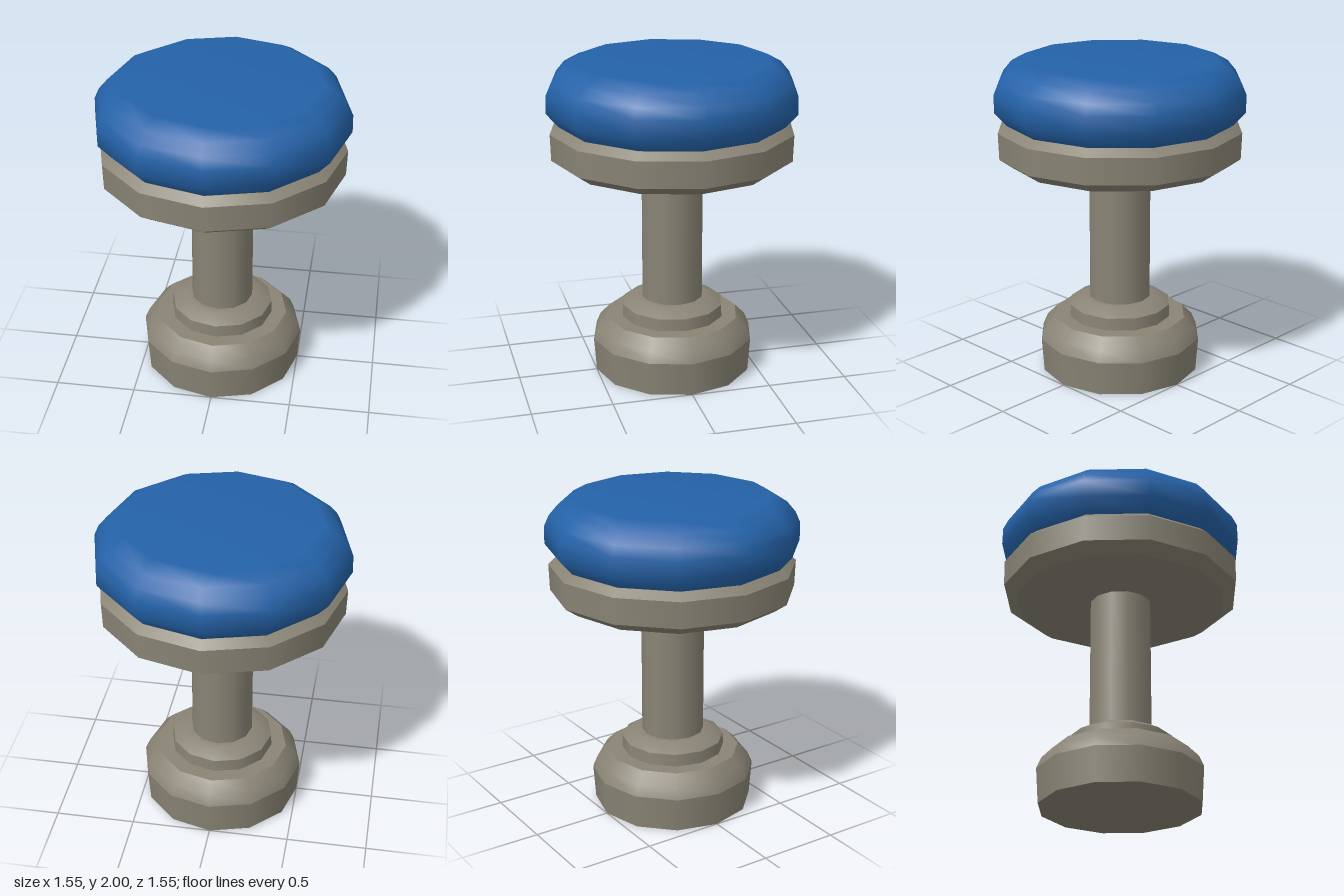
import * as THREE from 'three';
import { mergeGeometries } from 'three/addons/utils/BufferGeometryUtils.js';

const SIDES = 12;

// Turns profile strips (bottom to top, [radius, y]); each strip is smooth, joints between strips stay sharp.
function turned(name, material, strips) {
  const parts = strips.map((s) =>
    new THREE.LatheGeometry(s.map(([r, y]) => new THREE.Vector2(r, y)), SIDES));
  const mesh = new THREE.Mesh(mergeGeometries(parts), material);
  mesh.name = name;
  return mesh;
}

export function createModel() {
  const metal = new THREE.MeshStandardMaterial({ color: 0x898475 });
  metal.name = 'warm grey metal';
  const fabric = new THREE.MeshStandardMaterial({ color: 0x2462a8 });
  fabric.name = 'blue upholstery';

  const stool = new THREE.Group();
  stool.name = 'stool';

  // Heavy foot with a rounded shoulder
  stool.add(turned('base', metal, [
    [[0, 0], [0.5, 0]],
    [[0.5, 0], [0.515, 0.215]],
    [[0.515, 0.215], [0.485, 0.285], [0.42, 0.352]],
    [[0.42, 0.352], [0, 0.352]],
  ]));

  // Stepped collar around the foot of the post
  stool.add(turned('collar', metal, [
    [[0.325, 0.35], [0.322, 0.43]],
    [[0.322, 0.43], [0.24, 0.475], [0.19, 0.475]],
  ]));

  // Central post
  stool.add(turned('post', metal, [[[0.195, 0.46], [0.195, 1.365]]]));

  // Bevelled pan under the cushion
  stool.add(turned('seatPan', metal, [
    [[0, 1.36], [0.67, 1.36]],
    [[0.67, 1.36], [0.752, 1.418]],
    [[0.752, 1.418], [0.757, 1.58]],
    [[0.757, 1.58], [0.705, 1.624]],
    [[0.705, 1.624], [0, 1.624]],
  ]));

  // Padded cushion
  stool.add(turned('cushion', fabric, [
    [[0.7, 1.622], [0.776, 1.71], [0.774, 1.82], [0.745, 1.885],
      [0.69, 1.95], [0.6, 2], [0, 2]],
  ]));

  return stool;
}
